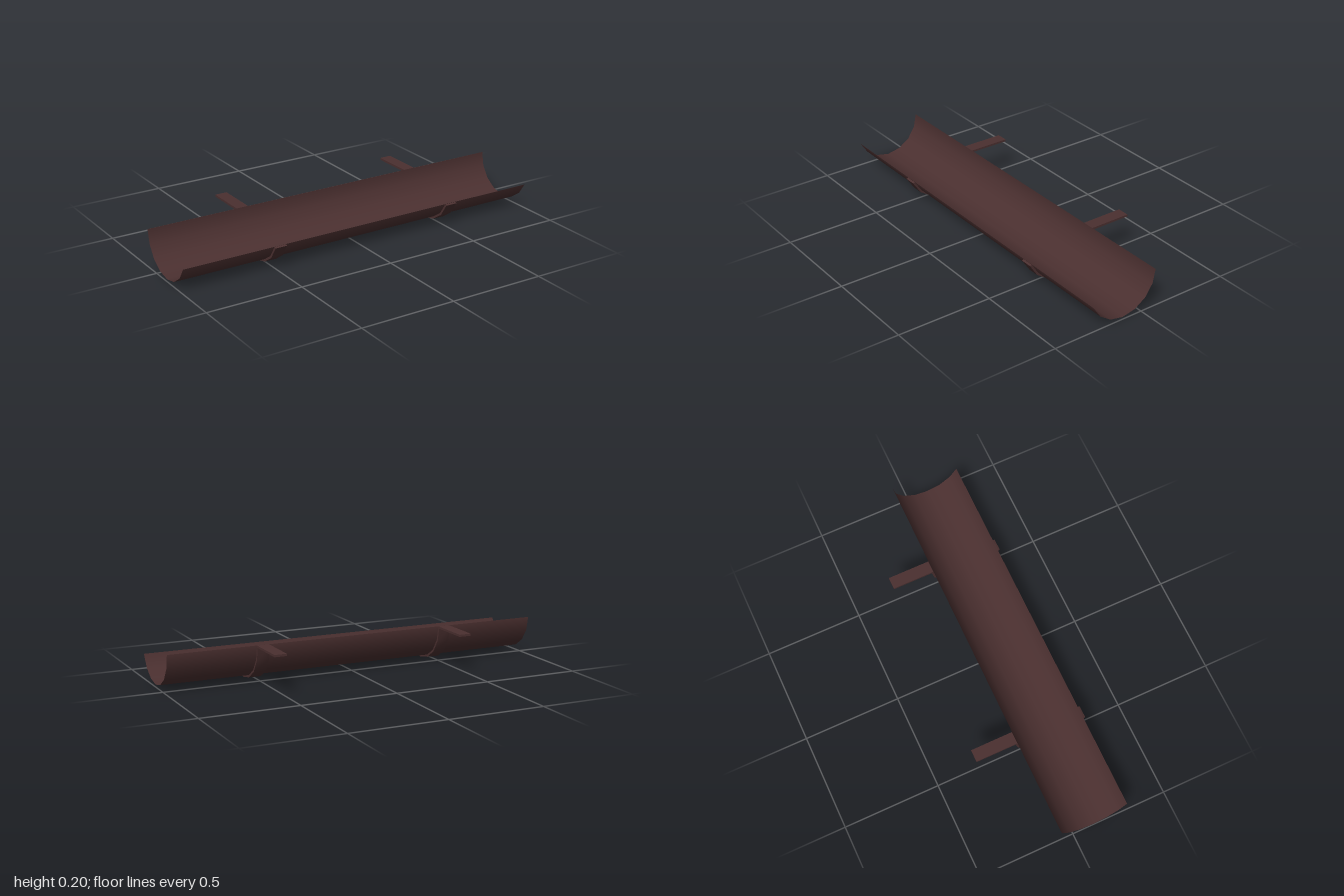
import * as THREE from 'three';
import { toCreasedNormals } from 'three/addons/utils/BufferGeometryUtils.js';

const CENTER_Y = 0.2, CENTER_Z = 0.111;
const STEP = Math.PI / 8; // trough facets, measured from the front rim line downwards

export function createModel() {
  const group = new THREE.Group();
  group.name = 'gutter';

  const metal = new THREE.MeshStandardMaterial({ color: 0x4b3030, side: THREE.DoubleSide });
  metal.name = 'dark brown metal';

  // Trough: open sheet whose front lip is one facet lower than the back wall
  const troughGeo = new THREE.CylinderGeometry(0.188, 0.188, 2, 7, 1, true, STEP, 7 * STEP);
  troughGeo.rotateZ(-Math.PI / 2);
  const trough = new THREE.Mesh(troughGeo, metal);
  trough.name = 'trough';
  trough.position.set(0, CENTER_Y, CENTER_Z);
  group.add(trough);

  // Bracket: curved strap under the trough, with a flat arm reaching back
  const arcPoint = (r, i) => new THREE.Vector2(
    CENTER_Z + r * Math.cos(i * STEP), CENTER_Y - r * Math.sin(i * STEP));
  const outline = [];
  for (let i = 1; i <= 7; i++) outline.push(arcPoint(0.2, i));
  outline.push(
    new THREE.Vector2(-0.087, 0.189),
    new THREE.Vector2(-0.297, 0.189),
    new THREE.Vector2(-0.297, 0.2));
  for (let i = 8; i >= 1; i--) outline.push(arcPoint(0.189, i));

  const width = 0.063;
  let bracketGeo = new THREE.ExtrudeGeometry(new THREE.Shape(outline), { depth: width, bevelEnabled: false });
  bracketGeo.translate(0, 0, -width / 2);
  bracketGeo.rotateY(-Math.PI / 2); // shape x runs along z
  bracketGeo = toCreasedNormals(bracketGeo, 0.5);

  [['rightBracket', -0.488], ['leftBracket', 0.513]].forEach(([name, x]) => {
    const bracket = new THREE.Mesh(bracketGeo, metal);
    bracket.name = name;
    bracket.position.x = x;
    group.add(bracket);
  });

  return group;
}
